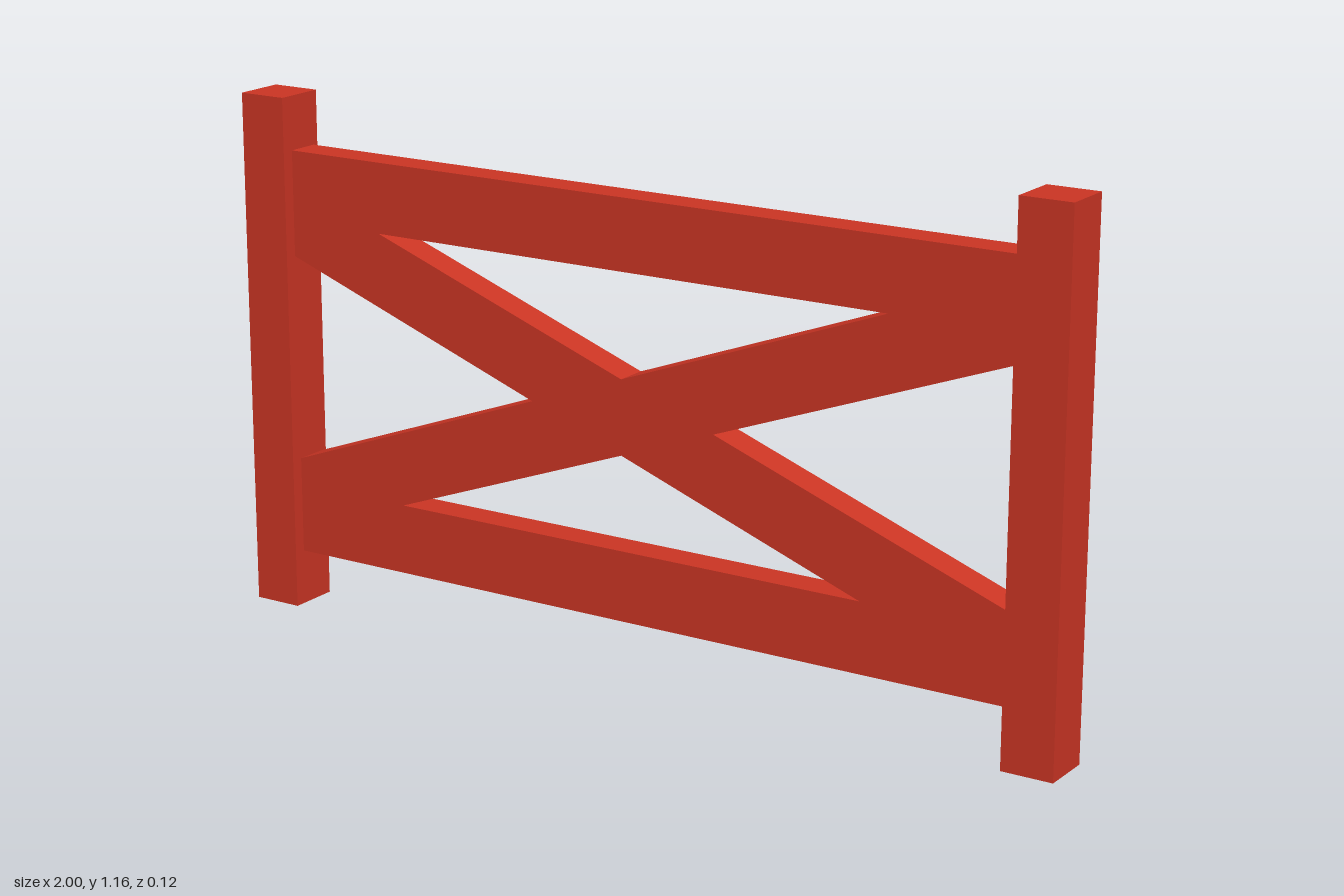
import * as THREE from 'three';

export function createModel() {
  const gate = new THREE.Group();
  gate.name = 'fenceGate';
  const redPaint = new THREE.MeshStandardMaterial({ color: 0xcc3524 });
  redPaint.name = 'redPaint';

  const postHeight = 1.16, postDepth = 0.116;
  const left = -0.888, right = 0.884; // inner faces of the posts
  const barBack = -0.045, barDepth = 0.075;

  function add(name, geometry, x, y, z) {
    const mesh = new THREE.Mesh(geometry, redPaint);
    mesh.name = name;
    mesh.position.set(x, y, z);
    gate.add(mesh);
  }

  // Upright posts
  for (const [name, x0, x1] of [['rightPost', -1, left], ['leftPost', right, 1]]) {
    add(name, new THREE.BoxGeometry(x1 - x0, postHeight, postDepth), (x0 + x1) / 2, postHeight / 2, 0);
  }

  // Horizontal rails
  const barZ = barBack + barDepth / 2;
  for (const [name, y] of [['bottomRail', 0.202], ['topRail', 0.962]]) {
    add(name, new THREE.BoxGeometry(right - left, 0.156, barDepth), (left + right) / 2, y, barZ);
  }

  // Crossed braces, cut upright where they meet the posts
  const crossX = -0.03, crossY = 0.5725, half = 0.0825;
  for (const [name, slope] of [['risingBrace', 0.366], ['fallingBrace', -0.366]]) {
    const yAt = (x) => crossY + slope * (x - crossX);
    const shape = new THREE.Shape([
      new THREE.Vector2(left, yAt(left) - half),
      new THREE.Vector2(right, yAt(right) - half),
      new THREE.Vector2(right, yAt(right) + half),
      new THREE.Vector2(left, yAt(left) + half),
    ]);
    add(name, new THREE.ExtrudeGeometry(shape, { depth: barDepth, bevelEnabled: false }), 0, 0, barBack);
  }

  return gate;
}
